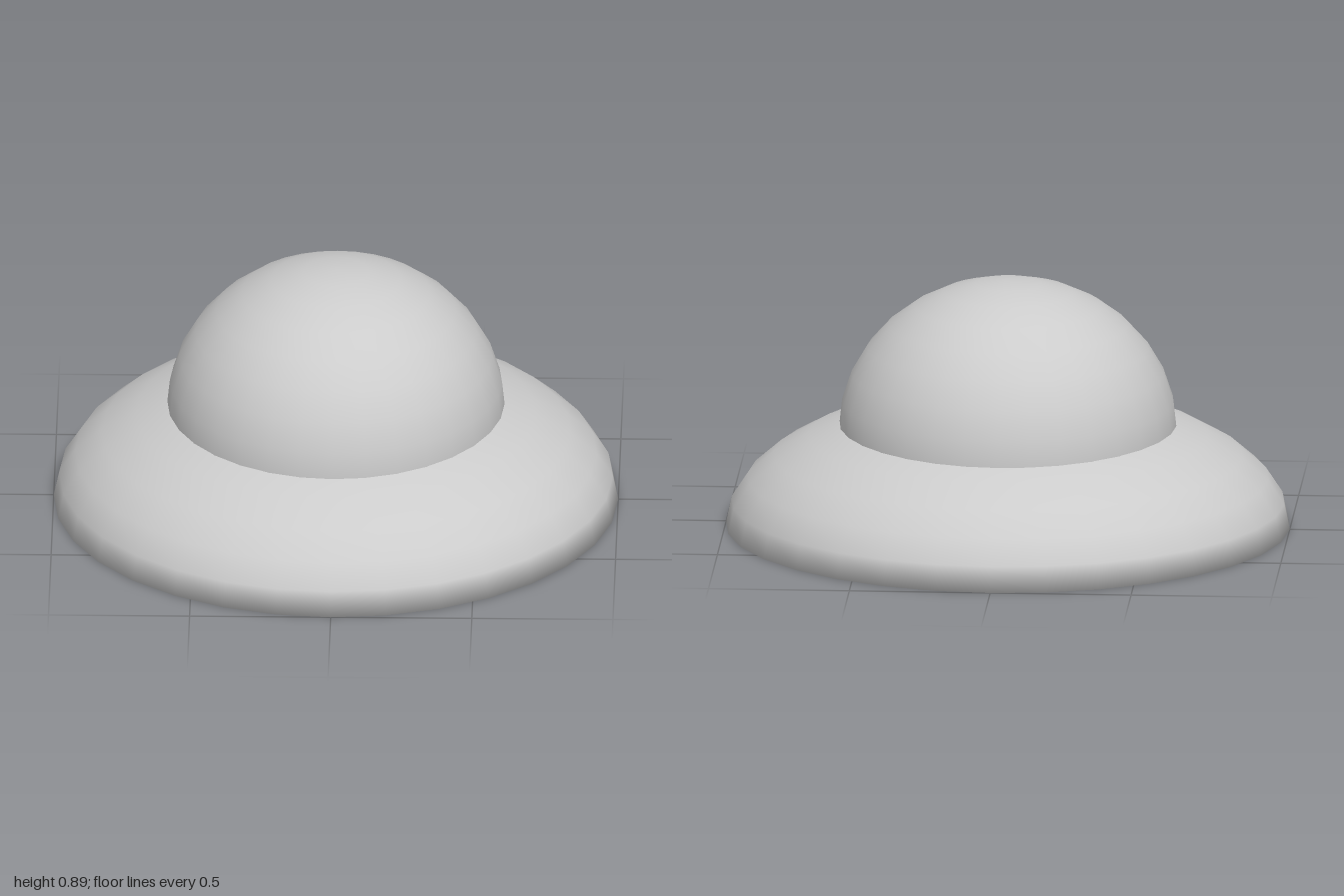
import * as THREE from 'three';
import { mergeGeometries } from 'three/addons/utils/BufferGeometryUtils.js';

// Closed half ellipsoid standing on y = 0, 32 sides and 8 rings
function halfEllipsoid(rx, ry, rz) {
  const shell = new THREE.SphereGeometry(1, 32, 8, 0, Math.PI * 2, 0, Math.PI / 2);
  const base = new THREE.CircleGeometry(1, 32).rotateX(Math.PI / 2);
  return mergeGeometries([shell, base]).scale(rx, ry, rz);
}

// Smooth the rim: shell and flat underside share their normals there
function softenRim(geometry) {
  const p = geometry.attributes.position;
  const n = geometry.attributes.normal;
  for (let i = 0; i < p.count; i++) {
    if (p.getY(i) < 1e-4) n.setXYZ(i, 0.8 * p.getX(i), -0.6, 0.8 * p.getZ(i));
  }
  return geometry;
}

export function createModel() {
  const group = new THREE.Group();
  const material = new THREE.MeshStandardMaterial({ color: 0xcccccc });

  // Wide, flattened lower body with a flat underside
  const brim = new THREE.Mesh(softenRim(halfEllipsoid(1, 0.465, 1)), material);
  brim.name = 'brim';

  // Upper dome, slightly longer front to back, sunk into the brim
  const dome = new THREE.Mesh(halfEllipsoid(0.6, 0.545, 0.622), material);
  dome.name = 'dome';
  dome.position.y = 0.348;

  group.add(brim, dome);
  return group;
}
